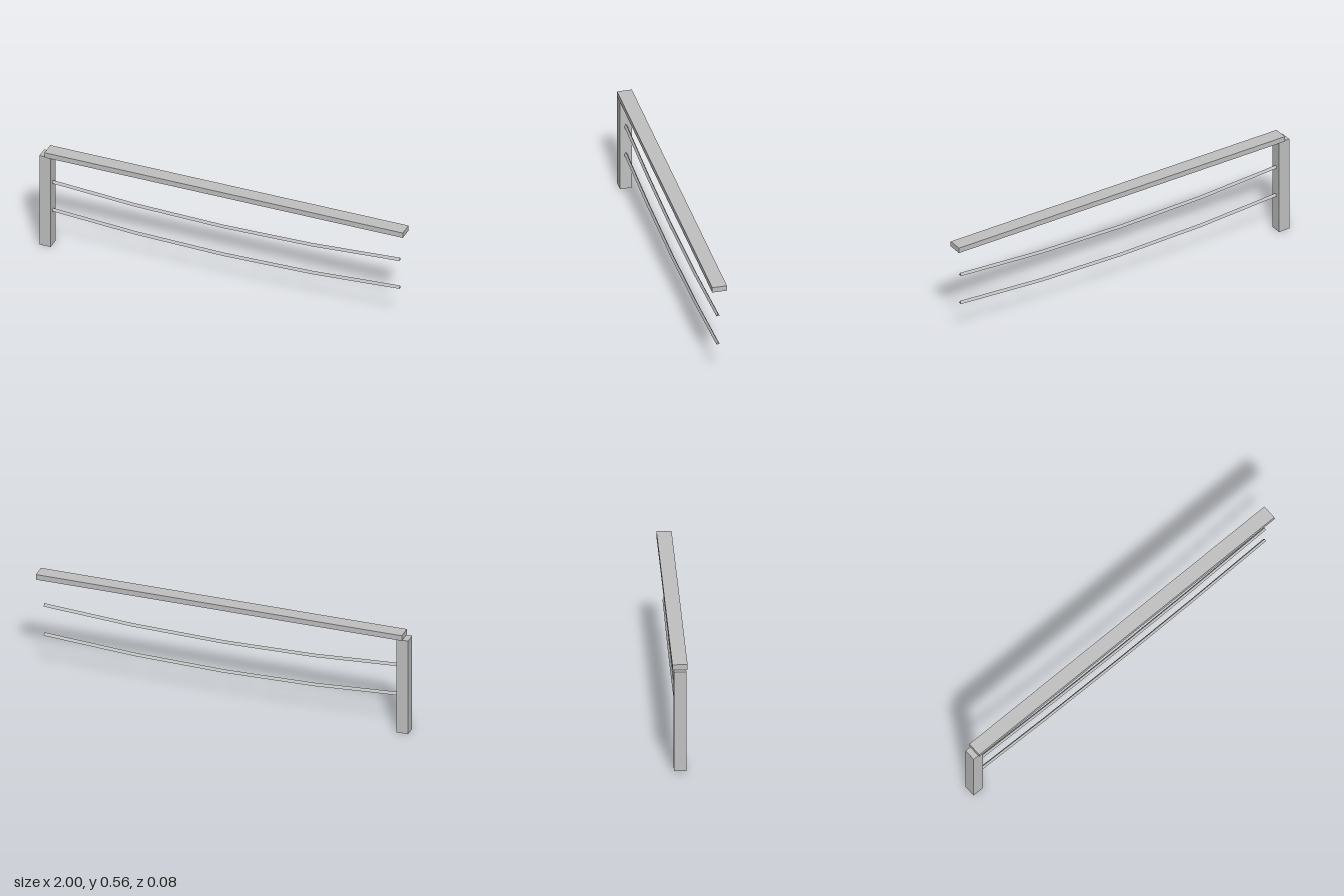
import * as THREE from 'three';

export function createModel() {
  const model = new THREE.Group();
  model.name = 'fenceSection';

  const grey = new THREE.MeshStandardMaterial({ color: 0xc0c0c0, flatShading: true, side: THREE.DoubleSide });
  grey.name = 'lightGrey';

  const add = (name, geometry, x, y) => {
    const mesh = new THREE.Mesh(geometry, grey);
    mesh.name = name;
    mesh.position.set(x, y, 0);
    model.add(mesh);
  };

  // Upright post at one end, with the handrail resting on it
  const postX = -0.969, postHeight = 0.534, railHeight = 0.029;
  add('post', new THREE.BoxGeometry(0.062, postHeight, 0.062), postX, postHeight / 2);
  add('handrail', new THREE.BoxGeometry(1.969, railHeight, 0.077), 0.0155, postHeight + railHeight / 2);

  // Open three-sided cable, apex up, sagging along a parabola
  const half = 0.969, sag = 0.04;
  const cable = new THREE.CylinderGeometry(0.01, 0.01, half * 2, 3, 4, true);
  cable.rotateZ(-Math.PI / 2).rotateX(-Math.PI / 2);
  const p = cable.attributes.position;
  for (let i = 0; i < p.count; i++) {
    const t = p.getX(i) / half;
    p.setY(i, p.getY(i) + sag * t * t);
  }
  cable.computeVertexNormals();
  add('upperCable', cable, 0, 0.335);
  add('lowerCable', cable, 0, 0.168);

  return model;
}
